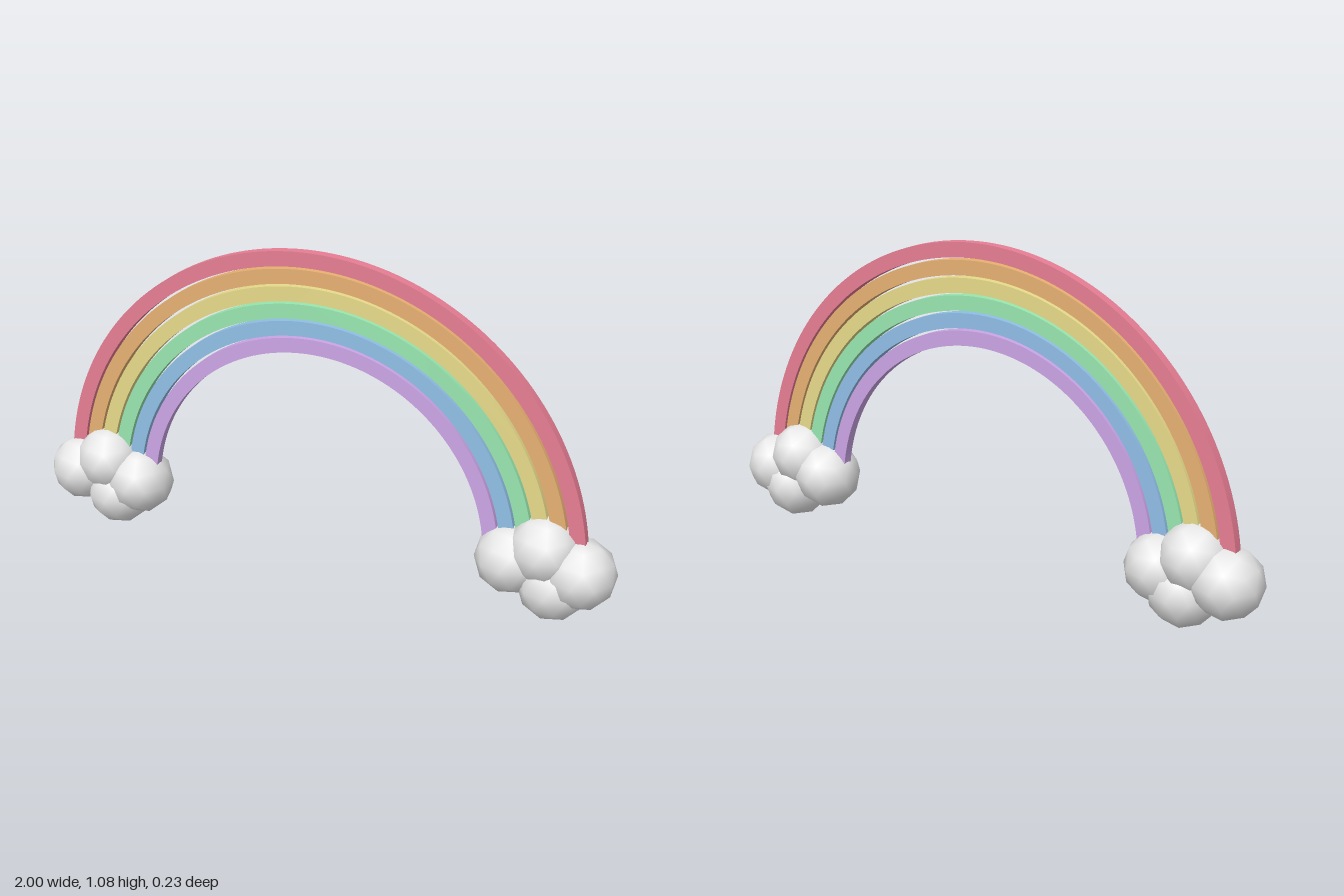
import * as THREE from 'three';
import { toCreasedNormals } from 'three/addons/utils/BufferGeometryUtils.js';

const material = (name, color) => {
  const m = new THREE.MeshStandardMaterial({ color });
  m.name = name;
  return m;
};

const BANDS = [
  ['red', 0xf8879f], ['orange', 0xfabf7c], ['yellow', 0xf9ec96],
  ['green', 0xa4f8bd], ['blue', 0x9dcffa], ['purple', 0xdfb4fc],
];
const OUTER = 0.919, PITCH = 0.0566, WIDTH = 0.049, DEPTH = 0.032;
const PUFF = 0.115;

// Half ring with a flat rectangular section
function bandGeometry(outer) {
  const shape = new THREE.Shape();
  shape.absarc(0, 0, outer, 0, Math.PI, false);
  shape.absarc(0, 0, outer - WIDTH, Math.PI, 0, true);
  const g = new THREE.ExtrudeGeometry(shape, { depth: DEPTH, bevelEnabled: false, curveSegments: 48 });
  g.translate(0, 0, -DEPTH / 2);
  return toCreasedNormals(g, Math.PI / 6);
}

// Coarse round puff with a corner pointing straight up
function puffGeometry() {
  const g = new THREE.IcosahedronGeometry(PUFF, 1);
  g.rotateX(-Math.atan((1 + Math.sqrt(5)) / 2));
  g.rotateY(Math.PI / 2);
  return g;
}

export function createModel() {
  const model = new THREE.Group();
  model.name = 'rainbowWithClouds';

  // Nested arches, from the outside in
  const rainbow = new THREE.Group();
  rainbow.name = 'rainbow';
  rainbow.position.set(-0.008, 0.164, 0);
  BANDS.forEach(([name, color], i) => {
    const band = new THREE.Mesh(bandGeometry(OUTER - i * PITCH), material(name, color));
    band.name = name + 'Band';
    rainbow.add(band);
  });
  model.add(rainbow);

  // The same four-puff cloud at each foot
  const white = material('cloudWhite', 0xfafafa);
  const puff = puffGeometry();
  const puffs = [
    ['outerPuff', -0.112, 0.178], ['topPuff', -0.005, 0.232],
    ['innerPuff', 0.112, 0.172], ['bottomPuff', 0.03, 0.115],
  ];
  for (const [side, x] of [['right', -0.778], ['left', 0.778]]) {
    const cloud = new THREE.Group();
    cloud.name = side + 'Cloud';
    cloud.position.x = x;
    for (const [name, px, py] of puffs) {
      const mesh = new THREE.Mesh(puff, white);
      // Both clouds lean the same way, so outer and inner swap on the left
      mesh.name = side === 'left'
        ? ({ outerPuff: 'innerPuff', innerPuff: 'outerPuff' }[name] || name) : name;
      mesh.position.set(px, py, 0);
      cloud.add(mesh);
    }
    model.add(cloud);
  }
  return model;
}
